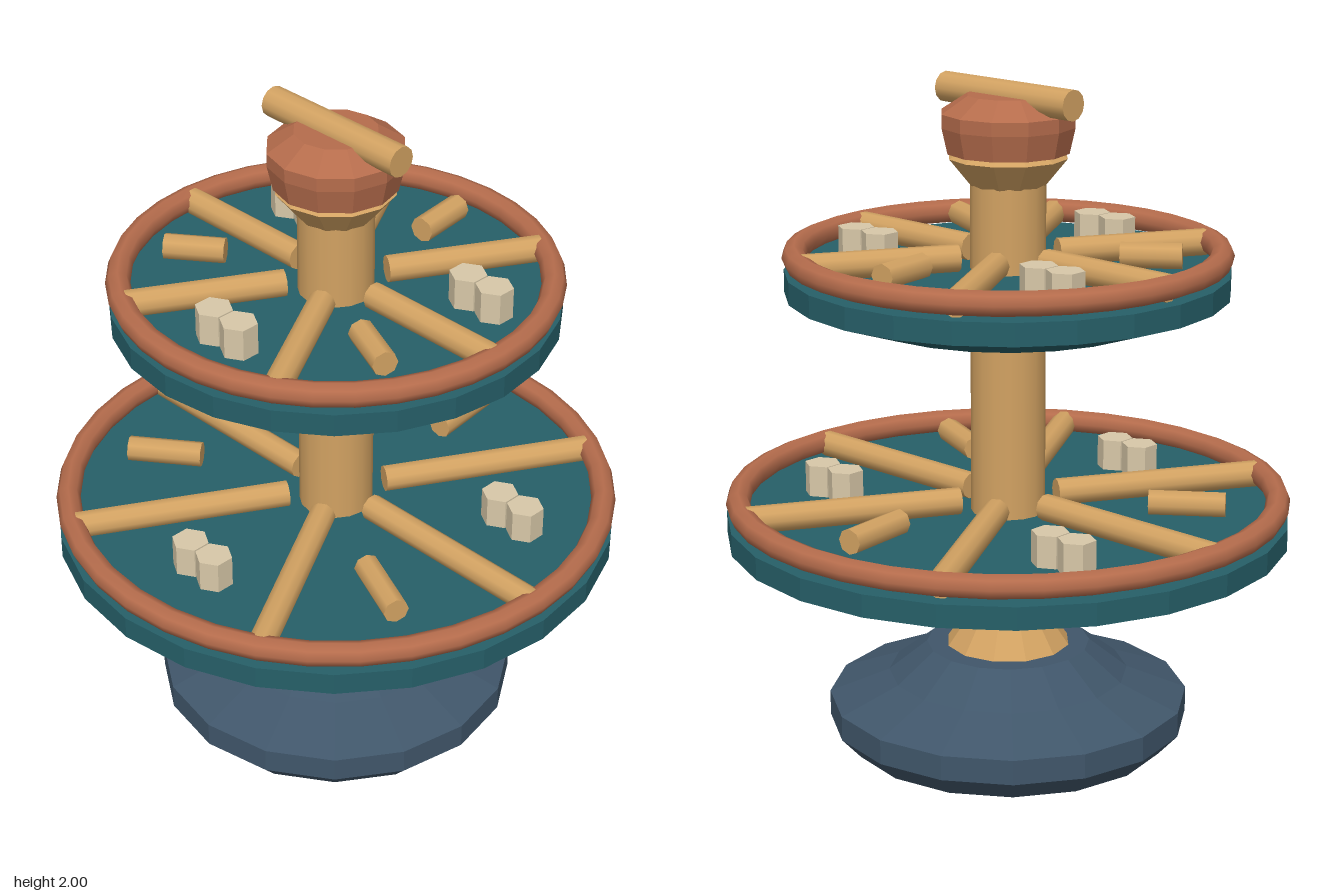
import * as THREE from 'three';

const mat = (name, color) => {
  const m = new THREE.MeshStandardMaterial({ color });
  m.name = name;
  return m;
};

export function createModel() {
  const root = new THREE.Group();
  root.name = 'tieredTray';
  const teal = mat('teal', 0x265f68);
  const wood = mat('wood', 0xd2a262);
  const copper = mat('copper', 0xb56c4c);
  const slate = mat('slate', 0x40566a);
  const cream = mat('cream', 0xd8c8a8);

  const add = (parent, name, geometry, material, x = 0, y = 0, z = 0) => {
    const mesh = new THREE.Mesh(geometry, material);
    mesh.name = name;
    mesh.position.set(x, y, z);
    parent.add(mesh);
    return mesh;
  };

  // Faceted turned solid from [radius, height] pairs, bottom to top
  const turned = (profile, sides) => {
    const g = new THREE.LatheGeometry(profile.map(p => new THREE.Vector2(...p)), sides).toNonIndexed();
    g.computeVertexNormals();
    return g;
  };

  // Cylinder lying in the floor plane along a plan angle (0 = +x, 90 degrees = +z)
  const lying = (parent, name, r, length, sides, x, y, z, angle) => {
    const g = new THREE.CylinderGeometry(r, r, length, sides);
    g.rotateZ(-Math.PI / 2);
    const mesh = add(parent, name, g, wood, x, y, z);
    mesh.rotation.y = -angle;
    return mesh;
  };

  // Foot, collar and central post
  add(root, 'base', turned([[0, 0], [0.48, 0], [0.54, 0.065], [0.54, 0.14], [0.36, 0.21], [0.245, 0.3], [0, 0.3]], 16), slate);
  add(root, 'baseCollar', turned([[0.19, 0.295], [0.11, 0.41], [0, 0.41]], 12), wood);
  add(root, 'post', new THREE.CylinderGeometry(0.11, 0.11, 1.42, 16), wood, 0, 1.0, 0);

  // Capital, knob and crossbar
  add(root, 'capital', turned([[0, 1.7], [0.11, 1.7], [0.175, 1.78], [0.145, 1.8], [0, 1.8]], 12), wood);
  add(root, 'knob', turned([[0, 1.795], [0.18, 1.795], [0.197, 1.87], [0.197, 1.91], [0.12, 1.96], [0, 1.96]], 12), copper);
  lying(root, 'crossbar', 0.045, 0.5, 12, 0, 1.955, 0, 0);

  // One tier: dish, rim ring, spokes, hexagonal blocks and short logs
  const addTier = (name, floor, dishR, shoulderR, ringR, itemR, logLength) => {
    const tier = new THREE.Group();
    tier.name = name;
    tier.position.y = floor;
    root.add(tier);

    add(tier, 'dish', turned([
      [0, -0.165], [0.25, -0.165], [shoulderR, -0.136], [dishR, -0.067], [dishR, 0], [0, 0]
    ], 24), teal);

    const ring = new THREE.TorusGeometry(ringR, 0.036, 8, 36);
    ring.rotateX(Math.PI / 2);
    add(tier, 'rimRing', ring, copper, 0, 0.045, 0);

    for (let i = 0; i < 6; i++) {
      const a = i * Math.PI / 3;
      const inner = 0.15, outer = ringR - 0.01, mid = (inner + outer) / 2;
      lying(tier, 'spoke', 0.04, outer - inner, 10, mid * Math.cos(a), 0.039, mid * Math.sin(a), a);
    }

    for (let i = 0; i < 3; i++) {
      // Pair of blocks side by side along x
      const b = Math.PI / 2 + i * Math.PI * 2 / 3;
      for (const s of [-1, 1]) {
        const hex = new THREE.CylinderGeometry(0.055, 0.055, 0.095, 6).toNonIndexed();
        hex.computeVertexNormals();
        add(tier, 'hexBlock', hex, cream, itemR * Math.cos(b) + s * 0.05, 0.0475, itemR * Math.sin(b));
      }
      // Log slightly turned off the radius
      const a = Math.PI / 6 + 0.015 + i * Math.PI * 2 / 3;
      lying(tier, 'log', 0.038, logLength, 8, itemR * Math.cos(a), 0.06, itemR * Math.sin(a), a - 0.13);
    }
  };

  addTier('lowerTier', 0.717, 0.836, 0.625, 0.8, 0.54, 0.225);
  addTier('upperTier', 1.453, 0.65, 0.45, 0.619, 0.422, 0.178);
  return root;
}
